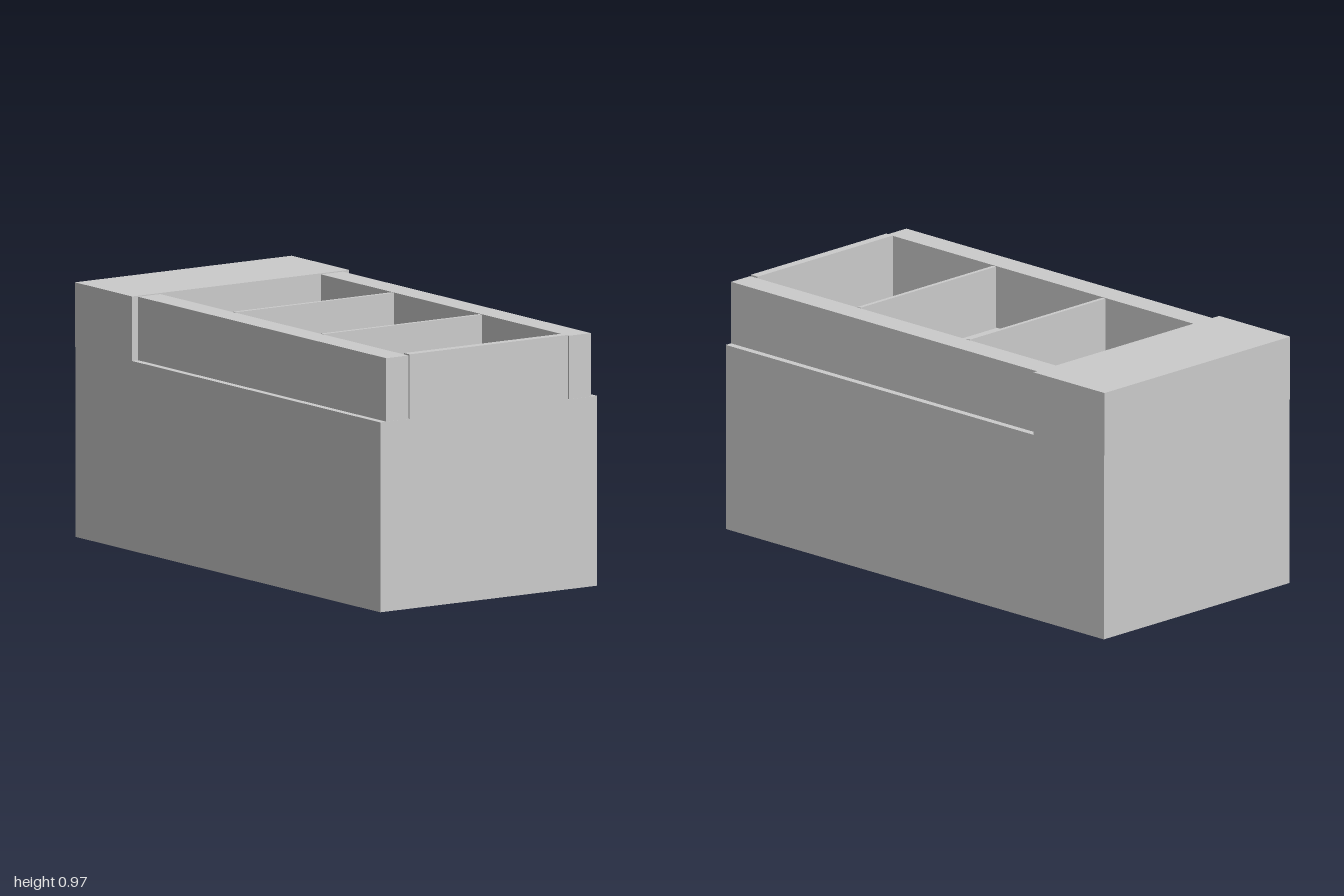
import * as THREE from 'three';

export function createModel() {
  const group = new THREE.Group();
  const material = new THREE.MeshStandardMaterial({ color: 0xcccccc, flatShading: true });

  // Box given by its minimum and maximum on each axis
  function block(name, [x0, x1], [y0, y1], [z0, z1]) {
    const mesh = new THREE.Mesh(new THREE.BoxGeometry(x1 - x0, y1 - y0, z1 - z0), material);
    mesh.position.set((x0 + x1) / 2, (y0 + y1) / 2, (z0 + z1) / 2);
    mesh.name = name;
    group.add(mesh);
  }

  const baseTop = 0.727, railTop = 0.97, top = 0.974, headX = -0.625;

  // Solid body and the raised block at one end
  block('base', [-0.996, 1], [0, baseTop], [-0.5, 0.5]);
  block('endBlock', [-1, headX], [baseTop, top], [-0.5, 0.5]);

  // Long side rails, set in slightly from the body
  block('frontRail', [headX, 0.999], [baseTop, railTop], [0.37, 0.472]);
  block('backRail', [headX, 0.999], [baseTop, railTop], [-0.472, -0.37]);

  // Closing panel and the thin dividers between compartments
  block('endPanel', [0.965, 1], [baseTop, top], [-0.365, 0.365]);
  for (const x of [-0.148, 0.429]) {
    block('divider', [x - 0.008, x + 0.008], [baseTop, railTop], [-0.365, 0.365]);
  }

  return group;
}
